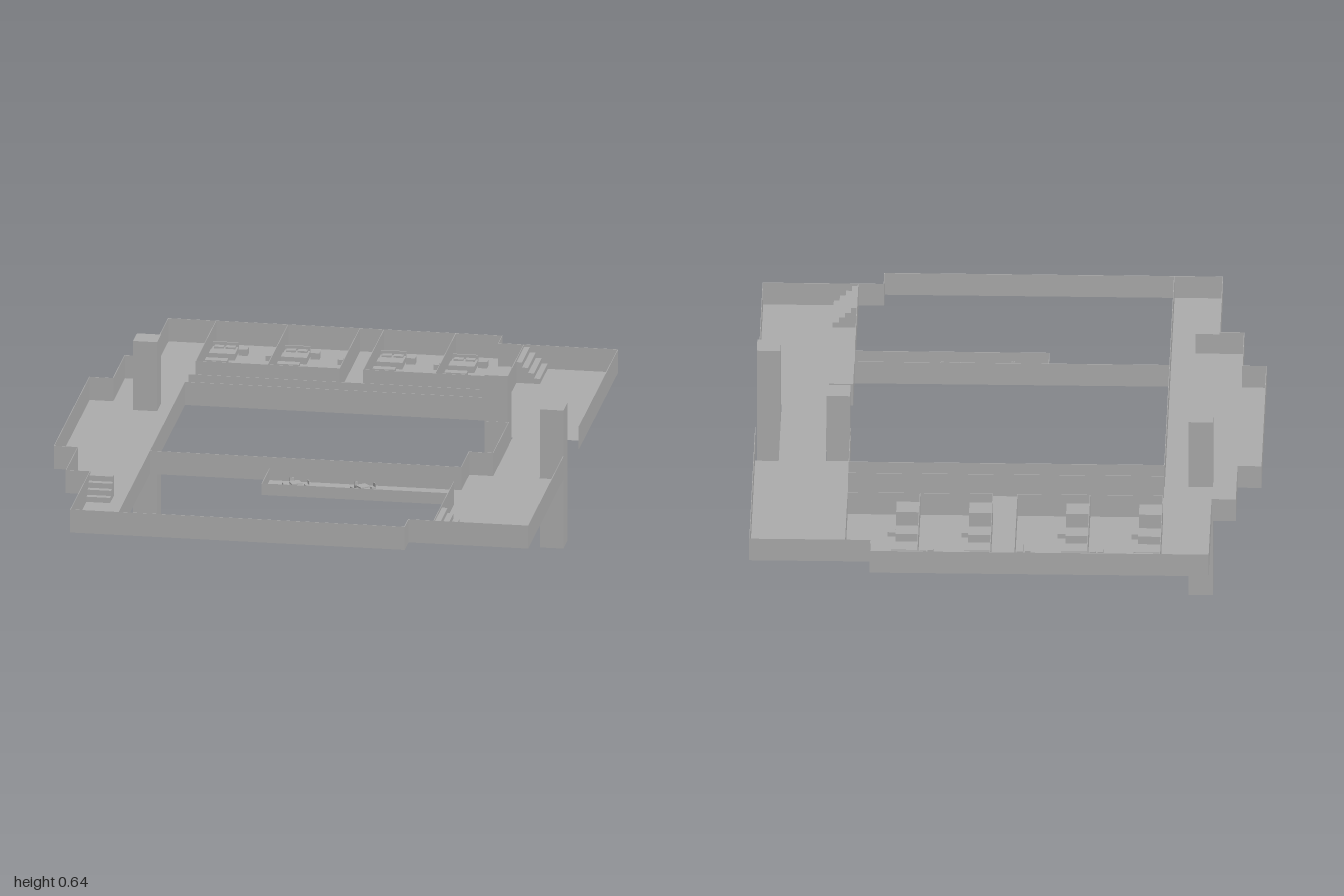
import * as THREE from 'three';

const FLOOR = 0.4, WALL_H = 0.08;

export function createModel() {
  const model = new THREE.Group();
  const grey = new THREE.MeshStandardMaterial({ color: 0xaaaaaa, side: THREE.DoubleSide });
  grey.name = 'plainGrey';

  // Box given by its x, y and z ranges
  function box(name, x0, x1, y0, y1, z0, z1, parent = model) {
    const mesh = new THREE.Mesh(new THREE.BoxGeometry(x1 - x0, y1 - y0, z1 - z0), grey);
    mesh.position.set((x0 + x1) / 2, (y0 + y1) / 2, (z0 + z1) / 2);
    mesh.name = name;
    parent.add(mesh);
    return mesh;
  }

  // Run of thin upright walls through a list of [x, z] points
  function walls(name, points, height = WALL_H) {
    const group = new THREE.Group();
    group.name = name;
    const t = 0.001;
    for (let i = 0; i + 1 < points.length; i++) {
      const [ax, az] = points[i], [bx, bz] = points[i + 1];
      box(name + 'Panel', Math.min(ax, bx) - t, Math.max(ax, bx) + t, FLOOR, FLOOR + height,
        Math.min(az, bz) - t, Math.max(az, bz) + t, group);
    }
    model.add(group);
  }

  // Floor slab, one flat sheet
  const outline = [
    [-0.68, -1], [0.435, -1], [0.435, -0.92], [0.835, -0.92], [0.835, -0.205], [0.755, -0.205],
    [0.755, 0.2], [0.835, 0.2], [0.835, 0.92], [0.52, 0.92], [0.52, 0.515], [-0.12, 0.515],
    [-0.12, 0.36], [0.52, 0.36], [0.52, 0.2], [0.6, 0.2], [0.6, -0.2], [0.52, -0.2],
    [0.52, -0.36], [-0.52, -0.36], [-0.52, 1], [-0.68, 1], [-0.68, 0.6], [-0.76, 0.6],
    [-0.76, 0.36], [-0.84, 0.36], [-0.84, -0.36], [-0.76, -0.36], [-0.76, -0.6], [-0.68, -0.6],
  ];
  const shape = new THREE.Shape(outline.map(([x, z]) => new THREE.Vector2(x, -z)));
  const floor = new THREE.Mesh(new THREE.ShapeGeometry(shape).rotateX(-Math.PI / 2), grey);
  floor.position.y = FLOOR;
  floor.name = 'floor';
  model.add(floor);

  // Outer wall, open on the +x side between the end and the pillar
  walls('outerWall', [
    [0.834, 0.2], [0.834, 0.92], [0.435, 0.92], [0.435, 0.999], [-0.68, 0.999], [-0.68, 0.6],
    [-0.76, 0.6], [-0.76, 0.36], [-0.839, 0.36], [-0.839, -0.36], [-0.76, -0.36], [-0.76, -0.6],
    [-0.68, -0.6], [-0.68, -0.999], [0.435, -0.999], [0.435, -0.92], [0.834, -0.92], [0.834, -0.12],
  ]);

  // Walls around the courtyard, and the low rail of the terrace
  walls('courtyardWall', [
    [0.52, 0.36], [0.52, 0.2], [0.6, 0.2], [0.6, -0.12], [0.52, -0.12], [0.52, -0.36],
    [-0.52, -0.36], [-0.52, 0.999],
  ]);
  walls('courtyardEndWall', [[0.52, 0.515], [0.52, 0.92]]);
  walls('crossWall', [[-0.52, 0.36], [0.52, 0.36]]);
  walls('corridorWall', [[-0.52, -0.44], [0.52, -0.44]]);
  walls('terraceRail', [[-0.12, 0.36], [-0.12, 0.515], [0.52, 0.515]], 0.04);

  // Room partitions, two pairs with a passage between
  const frontZ = -0.58;
  for (const x of [-0.52, -0.28, -0.04, 0.04, 0.28]) walls('roomDivider', [[x, -0.999], [x, frontZ]]);
  walls('roomDivider', [[0.52, -0.92], [0.52, frontZ]]);
  walls('roomFront', [[-0.52, frontZ], [-0.04, frontZ]]);
  walls('roomFront', [[0.04, frontZ], [0.52, frontZ]]);

  // Pillars
  box('tallPillar', -0.68, -0.6, 0, 0.64, -0.36, -0.28);
  box('innerPillar', 0.52, 0.597, 0.16, 0.64, -0.2, -0.12);
  box('outerPillar', 0.757, 0.835, 0.16, 0.64, 0.12, 0.2);

  // Stairs of four steps
  for (let i = 0; i < 4; i++) {
    const top = FLOOR + 0.018 * (4 - i), d = 0.02;
    box('backStair', 0.52 + i * d, 0.54 + i * d, FLOOR, top, -0.919, -0.76);
    box('frontStair', 0.52 + i * d, 0.54 + i * d, FLOOR, top, 0.76, 0.919);
    box('sideStair', -0.679, -0.6, FLOOR, top, 0.6 + i * d, 0.62 + i * d);
  }

  // Furniture of each room
  [-0.52, -0.28, 0.04, 0.28].forEach((x, i) => {
    const room = new THREE.Group();
    room.name = 'roomFurniture';
    room.position.set(x, FLOOR, 0);
    model.add(room);
    const put = (name, ...r) => box(name, ...r, room);
    put('bed', 0.003, 0.088, 0, 0.02, -0.918, -0.836);
    put('headboard', 0.003, 0.088, 0, 0.035, -0.922, -0.917);
    for (const px of [0.01, 0.049]) put('pillow', px, px + 0.032, 0.02, 0.026, -0.914, -0.893);
    put('blanket', 0.002, 0.089, 0.019, 0.023, -0.878, -0.835);
    put('bedsideTable', 0.092, 0.122, 0, 0.022, -0.92, -0.89);
    put('cabinet', 0.214, 0.235, 0, 0.025, -0.885, -0.83);
    put('stool', 0.19, 0.208, 0, 0.018, -0.868, -0.848);
    put('desk', 0.003, 0.077, 0, 0.028, -0.775, -0.746);
    const side = i % 2 ? 0.077 : 0.003;
    put('chairSeat', side, side + 0.027, 0, 0.016, -0.74, -0.713);
    put('sideTable', 0.077 - side, 0.103 - side, 0, 0.018, -0.742, -0.72);
    put('closet', 0.002, 0.077, 0, 0.05, -0.66, -0.585);
  });

  // Terrace tables, each with four chairs
  for (const [x, turn] of [[-0.02, 0.45], [0.205, 0.7]]) {
    const set = new THREE.Group();
    set.name = 'tableSet';
    set.position.set(x, FLOOR, 0.437);
    set.rotation.y = turn;
    model.add(set);
    box('tableTop', -0.018, 0.018, 0.02, 0.024, -0.018, 0.018, set);
    box('tableLeg', -0.003, 0.003, 0, 0.02, -0.003, 0.003, set);
    for (let i = 0; i < 4; i++) {
      const chair = new THREE.Group();
      chair.name = 'chair';
      chair.rotation.y = i * Math.PI / 2;
      box('seat', -0.007, 0.007, 0, 0.013, 0.031, 0.045, chair);
      box('chairBack', -0.007, 0.007, 0.013, 0.026, 0.043, 0.045, chair);
      set.add(chair);
    }
  }
  return model;
}
